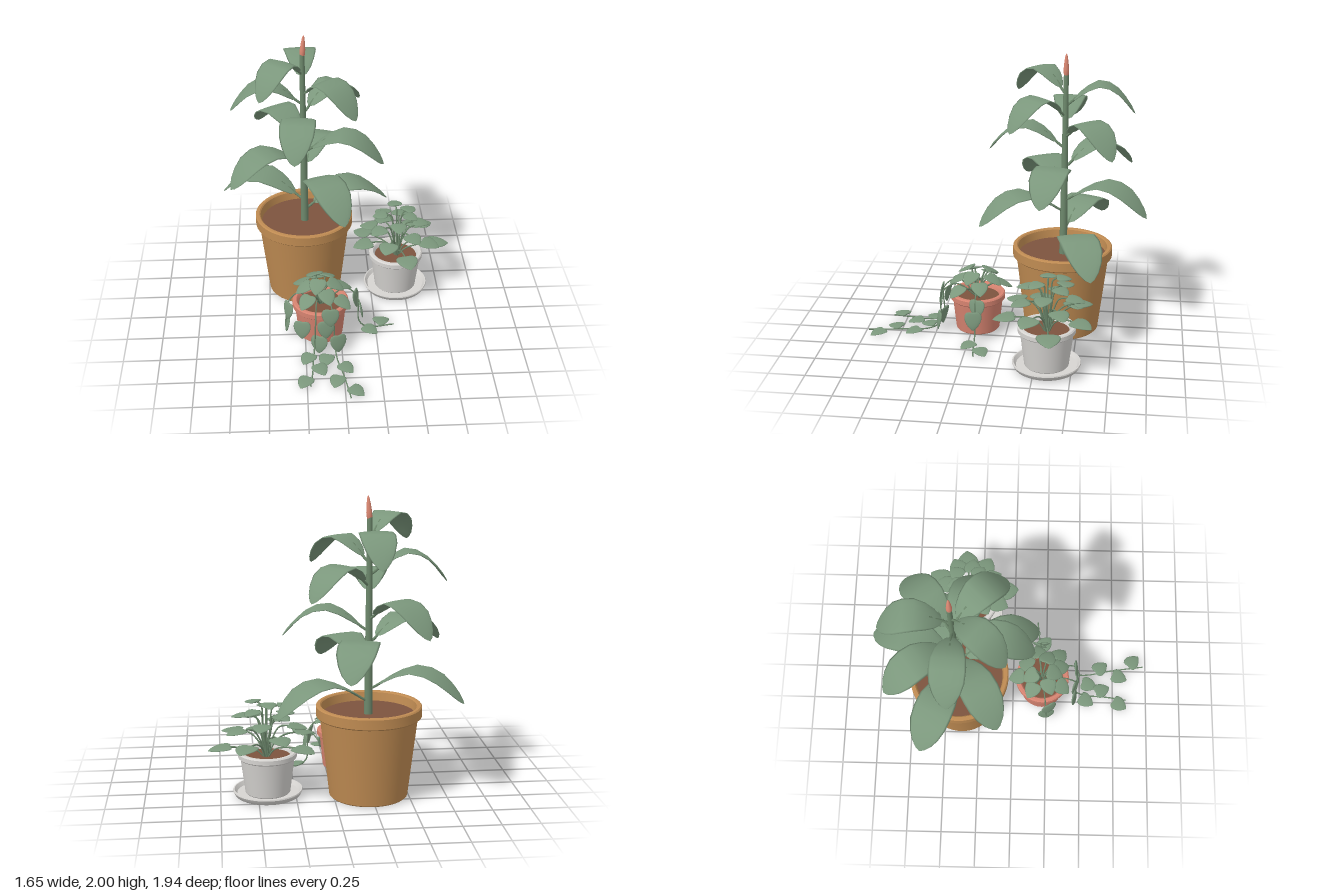
import * as THREE from 'three';
import { toCreasedNormals } from 'three/addons/utils/BufferGeometryUtils.js';

const mat = (name, color) => Object.assign(new THREE.MeshStandardMaterial({ color }), { name });
const V = (x, y, z) => new THREE.Vector3(x, y, z);
const GOLDEN = 137.5;
const rad = THREE.MathUtils.degToRad;
const lerp = THREE.MathUtils.lerp;

// Half-width stations [t, w] along a blade
const LONG = [[0, 0], [0.03, 0.3], [0.1, 0.58], [0.2, 0.8], [0.35, 0.96], [0.5, 1], [0.65, 0.95], [0.8, 0.76], [0.9, 0.52], [0.97, 0.24], [1, 0]];
const HEART = [[0, 0], [0.03, 0.45], [0.1, 0.78], [0.22, 0.97], [0.38, 1], [0.55, 0.88], [0.72, 0.65], [0.87, 0.36], [0.96, 0.13], [1, 0]];

// Leaf blade: elliptical rings swept along path(t) -> [z, y], outward along +z
function bladeGeometry(path, halfWidth, thick, stations, lobe = 0) {
  const n = 14, pos = [], idx = [];
  stations.forEach(([t, w], i) => {
    for (let j = 0; j < n; j++) {
      const a = (j / n) * Math.PI * 2, u = Math.cos(a);
      const s = t - lobe * w * Math.abs(u) * (1 - t) ** 2;
      const [z, y] = path(s), [z1, y1] = path(s + 0.01);
      const len = Math.hypot(z1 - z, y1 - y) || 1;
      const h = Math.sin(a) * thick * Math.min(1, w * 2);
      pos.push(u * w * halfWidth, y + h * (z1 - z) / len, z - h * (y1 - y) / len);
      if (i < stations.length - 1) {
        const p = i * n + j, q = i * n + (j + 1) % n;
        idx.push(p, q, p + n, q, q + n, p + n);
      }
    }
  });
  const g = new THREE.BufferGeometry();
  g.setAttribute('position', new THREE.Float32BufferAttribute(pos, 3));
  g.setIndex(idx);
  g.computeVertexNormals();
  return g;
}

export function createModel() {
  const root = new THREE.Group();
  root.name = 'pottedPlants';
  const leafGreen = mat('leafGreen', 0x7b977c);
  const stemGreen = mat('stemGreen', 0x6d886c);
  const tan = mat('tanClay', 0xbf8b52);
  const terracotta = mat('terracotta', 0xd68370);
  const white = mat('whiteCeramic', 0xd6d4d1);
  const soilBrown = mat('soil', 0x7d543e);
  const budPink = mat('budPink', 0xe08a74);

  const add = (parent, name, geo, m, x = 0, y = 0, z = 0) => {
    const mesh = new THREE.Mesh(geo, m);
    mesh.name = name;
    mesh.position.set(x, y, z);
    parent.add(mesh);
    return mesh;
  };
  const group = (parent, name, x, y, z) => {
    const g = new THREE.Group();
    g.name = name;
    g.position.set(x, y, z);
    parent.add(g);
    return g;
  };
  const lathe = (pts, seg = 48) =>
    toCreasedNormals(new THREE.LatheGeometry(pts.map(p => new THREE.Vector2(...p)), seg), 0.6);
  const tube = (pts, r, seg = 16) =>
    new THREE.TubeGeometry(new THREE.CatmullRomCurve3(pts), seg, r, 6);
  // Direction angle in the ground plane -> yaw of a leaf pointing along +z
  const yawOf = deg => rad(deg) + Math.PI / 2;

  // Pot with a thick rim and a disc of soil
  function pot(name, m, x, z, y0, rBase, rWall, rRim, yRim, top, soilY) {
    const g = group(root, name, x, 0, z), b = 0.008, wall = rRim - 0.035;
    add(g, 'potBody', lathe([[0, y0], [rBase - b, y0], [rBase, y0 + b], [rWall, yRim], [rRim - b, yRim], [rRim, yRim + b],
      [rRim, top - b], [rRim - b, top], [wall + b, top], [wall, top - b], [wall - 0.01, soilY - 0.01]]), m);
    add(g, 'soil', new THREE.CylinderGeometry(wall, wall - 0.01, 0.02, 48), soilBrown, 0, soilY - 0.01, 0);
    return g;
  }
  pot('largePot', tan, -0.235, -0.38, 0, 0.262, 0.325, 0.35, 0.545, 0.625, 0.56);
  pot('terracottaPot', terracotta, -0.14, 0.215, 0, 0.155, 0.178, 0.195, 0.225, 0.275, 0.24);
  const whitePot = pot('whitePot', white, 0.435, -0.33, 0.018, 0.15, 0.18, 0.195, 0.26, 0.305, 0.27);
  add(whitePot, 'saucer', lathe([[0, 0], [0.205, 0], [0.218, 0.008], [0.233, 0.036], [0.23, 0.044], [0.222, 0.044], [0.205, 0.019], [0, 0.019]]), white);

  // Tall plant: tapered stem, bud, and spiralling arched leaves
  const tall = group(root, 'tallPlant', -0.23, 0, -0.385);
  add(tall, 'mainStem', new THREE.CylinderGeometry(0.017, 0.028, 1.31, 16), stemGreen, 0, 1.205, 0);
  const bud = add(tall, 'bud', new THREE.LatheGeometry([[0.012, 0], [0.018, 0.03], [0.019, 0.06], [0.014, 0.11], [0.008, 0.15], [0, 0.17]]
    .map(p => new THREE.Vector2(...p)), 16), budPink, 0, 1.832, 0);
  bud.rotation.z = -0.07;
  const tipHeights = [0.6, 0.68, 0.83, 0.91, 0.99, 1.07, 1.15, 1.29, 1.37, 1.44, 1.52, 1.59, 1.67];
  tipHeights.forEach((tipY, i) => {
    const R = 0.655 - 0.0165 * i;
    const arch = [[0, 0.045], [0.08, 0.075], [0.3, 0.165], [0.5, 0.205], [0.7, 0.17], [0.85, 0.1], [1, 0]];
    const curve = new THREE.CatmullRomCurve3(arch.map(([r, y]) => V(0, y, r * R)));
    const path = s => {
      const k = Math.min(1, 0.19 + 0.81 * s), p = curve.getPoint(k);
      if (0.19 + 0.81 * s <= 1) return [p.z, p.y];
      return [p.z + 0.005, p.y - 0.007];
    };
    const g = group(tall, 'archedLeaf', 0, tipY, 0);
    g.rotation.y = yawOf(20 + GOLDEN * i);
    add(g, 'blade', bladeGeometry(path, lerp(0.138, 0.112, i / 12), 0.008, LONG), leafGreen);
    const stalk = [0, 0.08, 0.16, 0.24, 0.32].map(k => curve.getPoint(k));
    add(g, 'leafStalk', tube(stalk, 0.009), stemGreen);
  });

  // Small heart-shaped leaf centred on its group
  function smallLeaf(parent, x, y, z, yaw, tilt, L, W = L * 0.5) {
    const g = group(parent, 'smallLeaf', x, y, z);
    g.rotation.set(tilt, yaw, 0, 'YXZ');
    const path = s => [L * (s - 0.45), -0.12 * L * s * s];
    add(g, 'heartBlade', bladeGeometry(path, W, 0.007, HEART, 0.16), leafGreen);
    return g;
  }

  // Bushy plant: thin stems fanning out to flat leaves
  const bushy = group(root, 'bushyPlant', 0.443, 0, -0.333);
  const COUNT = 20;
  for (let i = 0; i < COUNT; i++) {
    const f = i / (COUNT - 1), L = lerp(0.15, 0.1, f);
    const r = lerp(0.39, 0.16, f) - L, y = lerp(0.35, 0.65, f);
    const g = group(bushy, 'fanStem', 0, 0, 0);
    g.rotation.y = yawOf(6 + GOLDEN * i);
    add(g, 'stalk', tube([V(0, 0.26, 0.012), V(0, lerp(0.26, y, 0.6), r * 0.22 + 0.01), V(0, y - 0.012, r * 0.6), V(0, y, r + 0.02)], 0.0055), stemGreen);
    smallLeaf(g, 0, y, r + L * 0.45, 0, 0.03, L, L * 0.54);
  }

  // Trailing plant: upright leaves above the pot
  const trailing = group(root, 'trailingPlant', 0, 0, 0);
  const crown = group(trailing, 'crown', -0.14, 0, 0.215);
  for (let i = 0; i < 11; i++) {
    const f = i / 10, r = lerp(0.2, 0.09, f), y = lerp(0.33, 0.44, f);
    const g = group(crown, 'crownStem', 0, 0, 0);
    g.rotation.y = yawOf(-40 + GOLDEN * i);
    add(g, 'stalk', tube([V(0, 0.235, 0.01), V(0, lerp(0.24, y, 0.65), r * 0.3), V(0, y + 0.012, r - 0.04)], 0.006), stemGreen);
    smallLeaf(g, 0, y, r, 0, 0.35, 0.125, 0.06);
  }

  // Vines spilling over the rim and along the ground
  const vines = [
    [[-0.14, 0.24, 0.22], [-0.17, 0.35, 0.36], [-0.18, 0.28, 0.465], [-0.19, 0.06, 0.475], [-0.2, 0.012, 0.55], [-0.21, 0.01, 0.7], [-0.23, 0.01, 0.85]],
    [[-0.12, 0.24, 0.22], [-0.08, 0.35, 0.36], [-0.06, 0.28, 0.465], [-0.05, 0.06, 0.475], [-0.04, 0.012, 0.55], [0, 0.01, 0.75], [0.035, 0.01, 0.98]],
    [[-0.1, 0.24, 0.2], [0.03, 0.35, 0.2], [0.115, 0.28, 0.2], [0.135, 0.06, 0.2], [0.19, 0.012, 0.2], [0.38, 0.01, 0.18]],
    [[-0.18, 0.24, 0.22], [-0.29, 0.34, 0.23], [-0.36, 0.28, 0.24], [-0.385, 0.05, 0.25]]];
  vines.forEach(p => add(trailing, 'vine', tube(p.map(q => V(...q)), 0.005, 48), stemGreen));

  // Leaves lying on the ground: x, z, yaw in degrees
  [[-0.265, 0.8, -30], [-0.24, 0.55, -30], [-0.155, 0.67, 25], [-0.115, 0.57, -15], [0.02, 0.66, 40], [-0.05, 0.8, -20],
    [0.075, 0.905, 45], [0.3, 0.135, 120], [0.21, 0.24, 50]]
    .forEach(([x, z, a]) => smallLeaf(trailing, x, 0.018, z, rad(a), 0, 0.115, 0.055));
  // Leaves hanging beside the pot: x, y, z, yaw in degrees
  [[-0.275, 0.19, 0.46, -15], [-0.11, 0.2, 0.48, 10], [-0.025, 0.085, 0.485, 20], [-0.16, 0.07, 0.47, -20],
    [-0.38, 0.1, 0.25, -80], [-0.37, 0.22, 0.27, -60], [0.115, 0.25, 0.19, 70], [0.15, 0.17, 0.21, 95], [-0.08, 0.29, 0.47, 0]]
    .forEach(([x, y, z, a]) => smallLeaf(trailing, x, y, z, rad(a), 1.3, 0.13, 0.06));

  return root;
}
